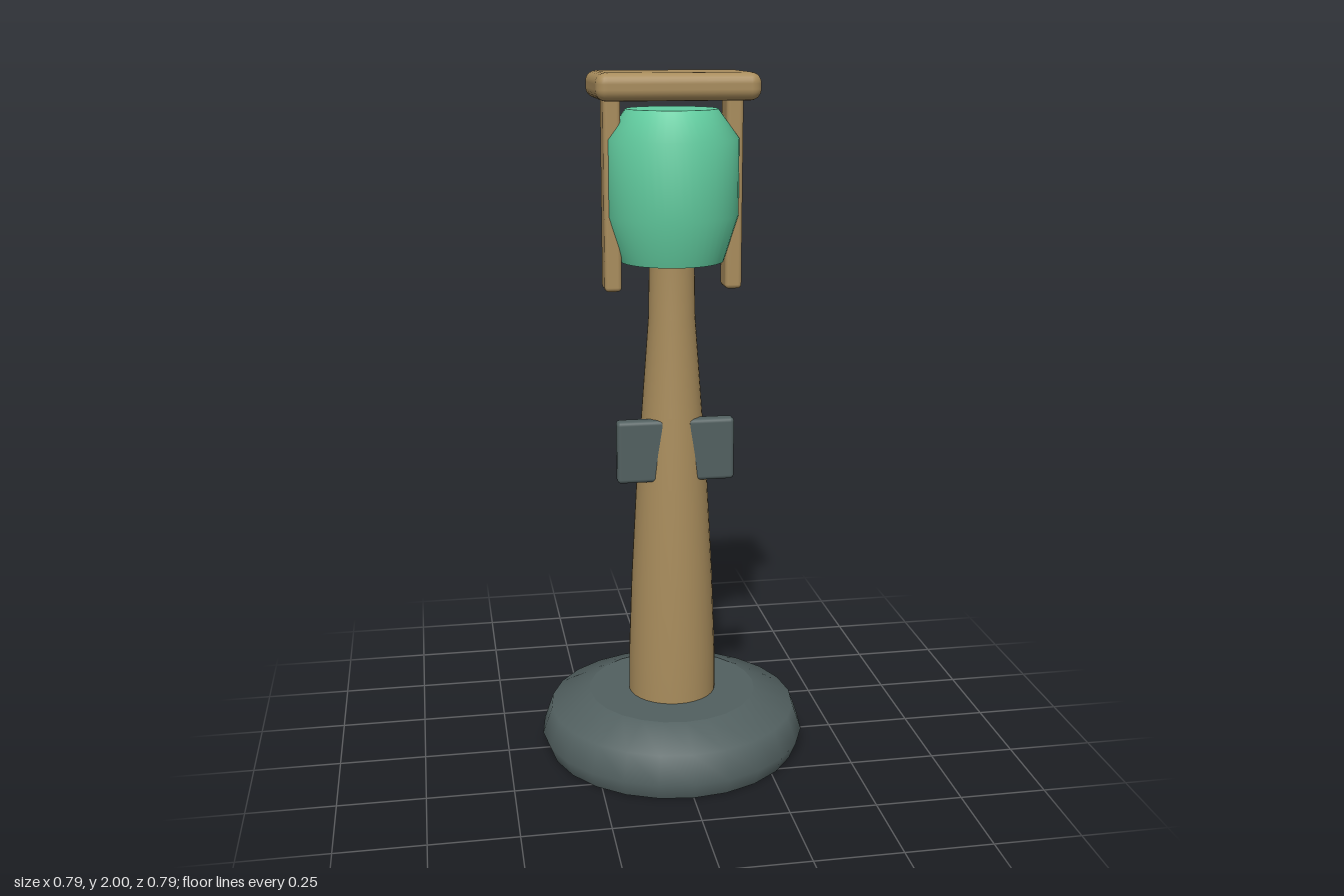
import * as THREE from 'three';
import { RoundedBoxGeometry } from 'three/addons/geometries/RoundedBoxGeometry.js';

function flat(name, color) {
  const m = new THREE.MeshStandardMaterial({ color });
  m.name = name;
  return m;
}

export function createModel() {
  const model = new THREE.Group();
  model.name = 'lanternPost';
  const wood = flat('wood', 0xa88c5c);
  const stone = flat('slate', 0x526060);
  const glass = flat('greenGlass', 0x62cda0);

  const add = (name, geometry, material, x = 0, y = 0, z = 0) => {
    const mesh = new THREE.Mesh(geometry, material);
    mesh.name = name;
    mesh.position.set(x, y, z);
    model.add(mesh);
  };
  // Profile runs bottom to top; a repeated point makes a sharp edge
  const lathe = (points, sides) =>
    new THREE.LatheGeometry(points.map(([r, y]) => new THREE.Vector2(r, y)), sides);
  const box = (x0, x1, y0, y1, z0, z1, radius) => {
    const g = new RoundedBoxGeometry(x1 - x0, y1 - y0, z1 - z0, 3, radius);
    g.translate((x0 + x1) / 2, (y0 + y1) / 2, (z0 + z1) / 2);
    return g;
  };

  // Round foot
  add('base', lathe([[0, 0], [0.375, 0], [0.375, 0], [0.395, 0.05], [0.367, 0.13],
    [0.25, 0.175], [0.25, 0.175], [0, 0.175]], 24), stone);

  // Tapering column
  add('column', lathe([[0.13, 0.15], [0.129, 0.3], [0.12, 0.54], [0.104, 0.83],
    [0.088, 1.04], [0.067, 1.32], [0.064, 1.5]], 32), wood);

  // Lantern body
  add('lantern', lathe([[0, 1.48], [0.146, 1.48], [0.146, 1.48], [0.187, 1.61],
    [0.187, 1.82], [0.128, 1.9], [0.128, 1.9], [0, 1.9]], 48), glass);

  // Roof slab
  add('roof', box(-0.225, 0.225, 1.925, 2, -0.143, 0.143, 0.03), wood);

  // Paired side posts and small plates
  for (const side of [-1, 1]) {
    const label = side > 0 ? 'left' : 'right';
    add(label + 'Post', box(-0.024, 0.024, 1.4, 1.94, -0.04, 0.04, 0.012), wood, side * 0.171);
    add(label + 'Plate', box(-0.07, 0.07, 0.85, 1.033, 0.037, 0.08, 0.012), stone, side * 0.1);
  }
  return model;
}
